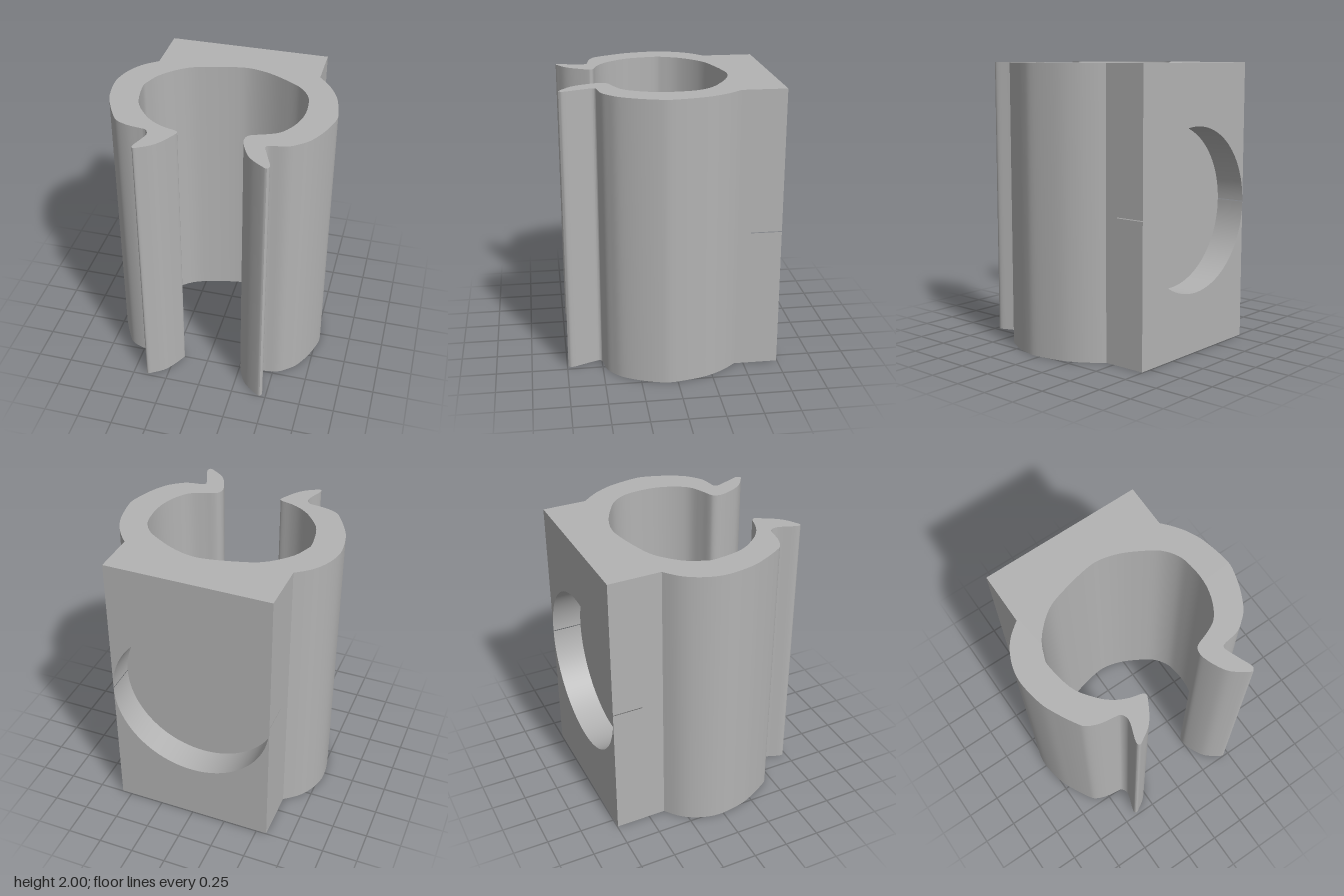
import * as THREE from 'three';
import { toCreasedNormals } from 'three/addons/utils/BufferGeometryUtils.js';

const HEIGHT = 2, HALF_WIDTH = 0.574, BACK = -0.745, POCKET_FLOOR = -0.53;

// Clip outline as [x, z]: right outer wall, right lip, bore, left lip, left outer wall
const rightOuter = [[0.574, -0.435], [0.63, -0.37], [0.69, -0.28], [0.74, -0.16], [0.776, 0.03],
  [0.765, 0.13], [0.72, 0.26], [0.66, 0.37], [0.6, 0.43], [0.53, 0.475]];
const rightLip = [[0.42, 0.495], [0.4, 0.515], [0.405, 0.54], [0.44, 0.63], [0.47, 0.705], [0.465, 0.735],
  [0.44, 0.738], [0.34, 0.665], [0.29, 0.59], [0.255, 0.5], [0.25, 0.455], [0.262, 0.42], [0.29, 0.4]];
const bore = [[0.36, 0.375], [0.45, 0.33], [0.51, 0.25], [0.55, 0.15], [0.566, 0.05], [0.562, -0.06],
  [0.54, -0.16], [0.47, -0.26], [0.35, -0.34], [0.23, -0.4], [0.11, -0.434], [0, -0.434],
  [-0.2, -0.39], [-0.36, -0.33], [-0.5, -0.2], [-0.56, -0.08], [-0.574, 0], [-0.535, 0.2],
  [-0.44, 0.34], [-0.36, 0.41], [-0.28, 0.45]];
const leftLip = [[-0.2, 0.472], [-0.18, 0.49], [-0.186, 0.515], [-0.24, 0.61], [-0.29, 0.67], [-0.35, 0.71],
  [-0.395, 0.732], [-0.405, 0.7], [-0.37, 0.6], [-0.363, 0.55], [-0.385, 0.51]];
const leftOuter = [[-0.43, 0.5], [-0.52, 0.485], [-0.6, 0.45], [-0.64, 0.4], [-0.7, 0.29], [-0.75, 0.17],
  [-0.778, 0], [-0.765, -0.12], [-0.72, -0.23], [-0.66, -0.31], [-0.574, -0.38]];

function extrude(shape, depth, curveSegments) {
  const geometry = new THREE.ExtrudeGeometry(shape, { depth, curveSegments, bevelEnabled: false });
  return toCreasedNormals(geometry, 0.6);
}

export function createModel() {
  const group = new THREE.Group();
  group.name = 'pipeClip';
  const grey = new THREE.MeshStandardMaterial({ color: 0xb3b3b3 });
  grey.name = 'plain grey';

  const add = (name, geometry) => {
    const mesh = new THREE.Mesh(geometry, grey);
    mesh.name = name;
    group.add(mesh);
    return mesh;
  };

  // Open ring with flared lips, joined to the front of the mounting block
  const outline = [...rightOuter, ...rightLip, ...bore, ...leftLip, ...leftOuter];
  const profile = new THREE.Shape();
  profile.moveTo(-HALF_WIDTH, -POCKET_FLOOR);
  profile.lineTo(HALF_WIDTH, -POCKET_FLOOR);
  profile.lineTo(outline[0][0], -outline[0][1]);
  profile.splineThru(outline.slice(1).map(([x, z]) => new THREE.Vector2(x, -z)));
  profile.closePath();
  add('clipBody', extrude(profile, HEIGHT, 4).rotateX(-Math.PI / 2));

  // Back plate in two halves around a round pocket that just breaks through the sides
  const slit = 0.003;
  const radius = Math.hypot(HALF_WIDTH, slit);
  const start = Math.atan2(slit, HALF_WIDTH);
  const half = new THREE.Shape();
  half.moveTo(HALF_WIDTH, slit);
  half.lineTo(HALF_WIDTH, HEIGHT / 2);
  half.lineTo(-HALF_WIDTH, HEIGHT / 2);
  half.lineTo(-HALF_WIDTH, slit);
  half.absarc(0, 0, radius, Math.PI - start, start, true);
  const halfGeometry = extrude(half, POCKET_FLOOR - BACK, 48);
  for (const [name, turn] of [['upperBackPlate', 0], ['lowerBackPlate', Math.PI]]) {
    const plate = add(name, halfGeometry);
    plate.rotation.z = turn;
    plate.position.set(0, HEIGHT / 2, BACK);
  }

  return group;
}
